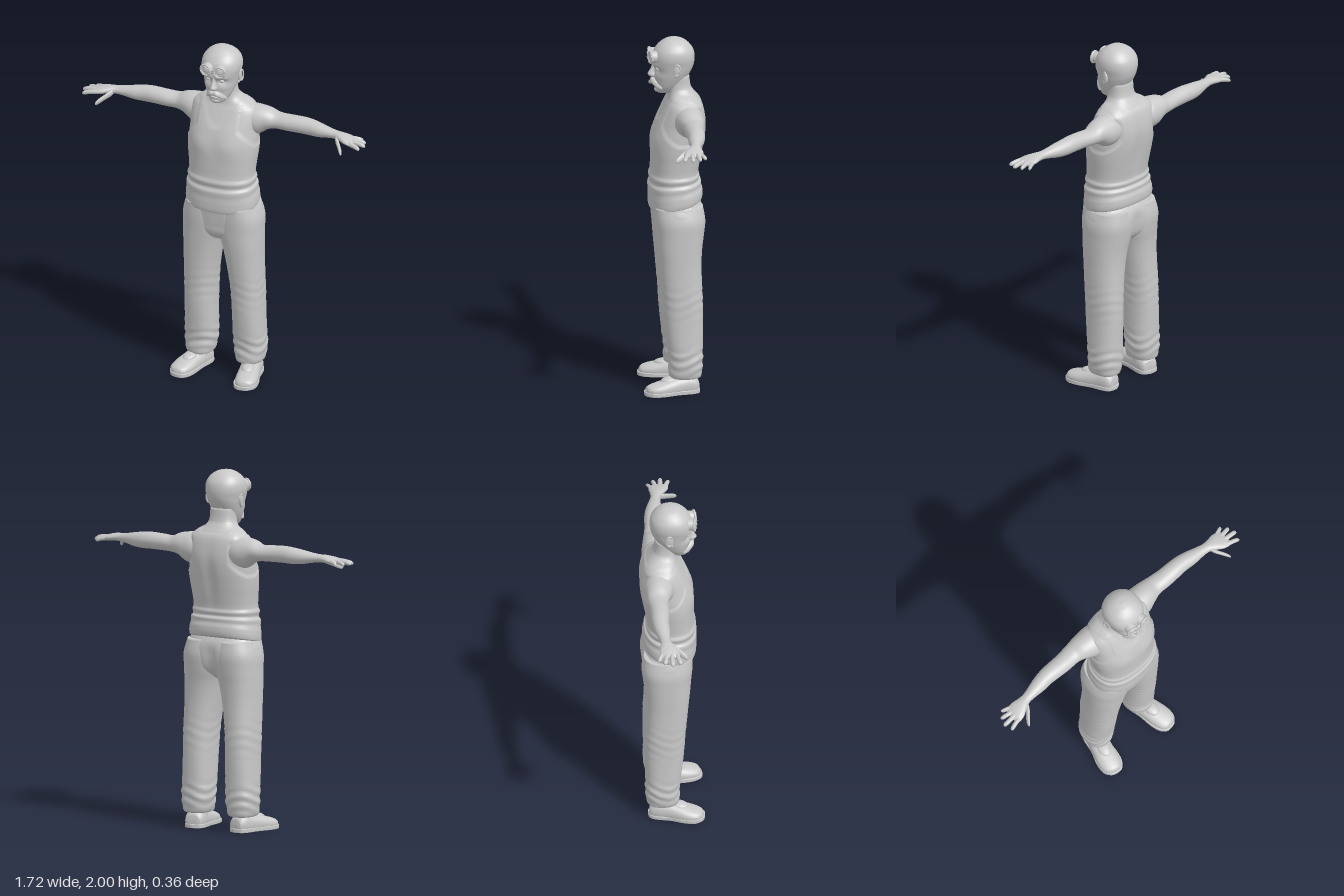
import * as THREE from 'three';
import { mergeGeometries } from 'three/addons/utils/BufferGeometryUtils.js';

const clay = new THREE.MeshStandardMaterial({ color: 0xc8c8c8 });
clay.name = 'clay grey';

// Smooth loft along an axis. Section: [position, centreU, centreV, radiusU, radiusV]
const PLANE = { x: ['z', 'y'], y: ['x', 'z'], z: ['y', 'x'] };
function loft(axis, rows, { n = 32, k = 5, e = 2, warp } = {}) {
  const [u, v] = PLANE[axis], last = rows.length - 1;
  const slope = (i, c) => {
    const a = rows[Math.max(i - 1, 0)], b = rows[Math.min(i + 1, last)];
    return (b[c] - a[c]) / (b[0] - a[0]);
  };
  const rings = [];
  for (let i = 0; i < last; i++) for (let s = 0; s < k; s++) {
    const t = s / k, A = rows[i], B = rows[i + 1], h = B[0] - A[0];
    rings.push(A.map((a, c) => c === 0 ? a + h * t
      : a * (2 * t ** 3 - 3 * t * t + 1) + B[c] * (3 * t * t - 2 * t ** 3)
      + h * slope(i, c) * (t ** 3 - 2 * t * t + t) + h * slope(i + 1, c) * (t ** 3 - t * t)));
  }
  rings.push(rows[last]);
  const pos = [], idx = [], p = new THREE.Vector3();
  const power = (x) => Math.sign(x) * Math.abs(x) ** (2 / e);
  const put = (r, cu, cv) => {
    p[axis] = r[0];
    p[u] = r[1] + Math.max(r[3], 0.0005) * cu;
    p[v] = r[2] + Math.max(r[4], 0.0005) * cv;
    if (warp) warp(p, r);
    pos.push(p.x, p.y, p.z);
  };
  for (const r of rings) for (let j = 0; j < n; j++) {
    const a = (j / n) * Math.PI * 2;
    put(r, power(Math.cos(a)), power(Math.sin(a)));
  }
  put(rings[0], 0, 0);
  put(rings[rings.length - 1], 0, 0);
  const m = rings.length, first = m * n, end = first + 1;
  for (let j = 0; j < n; j++) {
    const q = (j + 1) % n;
    for (let i = 0; i < m - 1; i++) {
      const a = i * n + j, b = i * n + q, c = a + n, d = b + n;
      idx.push(a, c, b, b, c, d);
    }
    idx.push(first, j, q, end, (m - 1) * n + q, (m - 1) * n + j);
  }
  const g = new THREE.BufferGeometry();
  g.setAttribute('position', new THREE.Float32BufferAttribute(pos, 3));
  g.setIndex(idx);
  g.computeVertexNormals();
  return g;
}

// Section from extents: [position, half width, front z, back z]
const body = (rows, cx = 0) => rows.map(([y, w, f, b]) => [y, cx, (f + b) / 2, w, (f - b) / 2]);
const step = (a, b, x) => THREE.MathUtils.smoothstep(x, a, b);
const bump = (x, s) => Math.exp(-(x * x) / (s * s));
const ball = (r, sx, sy, sz, x, y, z) => new THREE.SphereGeometry(r, 20, 14).scale(sx, sy, sz).translate(x, y, z);

function mirrored(geo) {
  const g = geo.clone().scale(-1, 1, 1), ix = g.index.array;
  for (let i = 0; i < ix.length; i += 3) [ix[i], ix[i + 1]] = [ix[i + 1], ix[i]];
  return g;
}

export function createModel() {
  const model = new THREE.Group();
  model.name = 'figure';
  const add = (name, geo) => {
    const mesh = new THREE.Mesh(geo, clay);
    mesh.name = name;
    model.add(mesh);
  };
  const pair = (name, geo) => {
    add('left ' + name, geo);
    add('right ' + name, mirrored(geo));
  };

  // Torso and neck; the vest is a raised area with scooped neck and armholes
  add('torso and vest', loft('y', body([
    [1.03, 0.19, 0.115, -0.135], [1.04, 0.203, 0.13, -0.155], [1.09, 0.204, 0.135, -0.158], [1.13, 0.198, 0.134, -0.15],
    [1.165, 0.198, 0.136, -0.15], [1.185, 0.187, 0.126, -0.138], [1.215, 0.192, 0.132, -0.142], [1.24, 0.184, 0.124, -0.136],
    [1.3, 0.188, 0.122, -0.145], [1.38, 0.197, 0.12, -0.16], [1.45, 0.2, 0.112, -0.172], [1.52, 0.198, 0.094, -0.177],
    [1.58, 0.2, 0.068, -0.17], [1.63, 0.188, 0.045, -0.157], [1.66, 0.15, 0.032, -0.14], [1.69, 0.1, 0.028, -0.118],
    [1.72, 0.079, 0.03, -0.1], [1.79, 0.074, 0.03, -0.09],
  ]), {
    n: 112, k: 7, e: 2.35, warp(p) {
      const { x, y, z } = p, ax = Math.abs(x);
      const hole = Math.hypot((z + 0.045) / 0.12, (y - 1.545) / 0.125);
      let vest = ax > 0.12 ? step(0.95, 1.03, hole) : 1;
      const neck = z > -0.06 ? 1.535 + 14 * x * x : 1.655 + 1.2 * Math.max(0, ax - 0.08);
      vest *= 1 - step(neck - 0.006, neck + 0.006, y);
      if (y > 1.69) vest = 0;
      const s = 1 + 0.035 * vest - 0.015;
      p.x *= s;
      p.z = -0.03 + (z + 0.03) * s;
      // Chest, spine hollow and tilted hem
      if (z > 0) p.z += 0.008 * bump(ax - 0.085, 0.06) * bump(y - 1.43, 0.06);
      else p.z += 0.01 * bump(x, 0.035) * bump(y - 1.42, 0.15);
      p.y -= 0.2 * (z - 0.1) * (1 - step(1.05, 1.26, y));
    },
  }));

  // Head: bald skull narrowing to the chin
  add('head', loft('y', body([
    [1.685, 0.012, 0.07, 0.03], [1.69, 0.036, 0.088, 0.005], [1.71, 0.055, 0.1, -0.03], [1.74, 0.072, 0.102, -0.055],
    [1.78, 0.087, 0.104, -0.082], [1.82, 0.097, 0.104, -0.104], [1.85, 0.103, 0.113, -0.115], [1.89, 0.111, 0.115, -0.12],
    [1.93, 0.107, 0.104, -0.113], [1.96, 0.09, 0.082, -0.093], [1.98, 0.067, 0.058, -0.07], [1.994, 0.038, 0.032, -0.042],
    [2.0, 0.002, 0, -0.006],
  ]), {
    n: 64, k: 6, e: 2.15, warp(p) {
      if (p.z < 0.03) return;
      const ax = Math.abs(p.x);
      p.z -= 0.014 * bump(ax - 0.04, 0.022) * bump(p.y - 1.83, 0.016);
      p.z += 0.007 * bump(p.y - 1.855, 0.012) * bump(ax - 0.04, 0.035);
      p.z += 0.005 * bump(p.y - 1.79, 0.018) * bump(ax - 0.055, 0.025);
    },
  }));
  add('nose', loft('y', body([
    [1.773, 0.004, 0.112, 0.09], [1.779, 0.017, 0.128, 0.08], [1.792, 0.02, 0.14, 0.08], [1.805, 0.015, 0.136, 0.08],
    [1.83, 0.01, 0.122, 0.08], [1.855, 0.01, 0.116, 0.08], [1.862, 0.004, 0.112, 0.08],
  ]), { n: 20, k: 4 }));
  pair('moustache half', loft('x', [
    [-0.004, 0.108, 1.757, 0.014, 0.013], [0.016, 0.109, 1.756, 0.017, 0.016], [0.036, 0.097, 1.745, 0.017, 0.016],
    [0.052, 0.08, 1.731, 0.013, 0.012], [0.062, 0.068, 1.722, 0.003, 0.003],
  ], { n: 16, k: 4 }));
  add('lower lip', ball(1, 0.022, 0.007, 0.01, 0, 1.73, 0.1));
  add('chin', ball(1, 0.03, 0.018, 0.022, 0, 1.706, 0.082));
  pair('eye', ball(0.013, 1.1, 0.75, 0.8, 0.04, 1.831, 0.089));
  pair('ear', mergeGeometries([
    ball(1, 0.009, 0.033, 0.02, 0.104, 1.835, -0.012),
    new THREE.TorusGeometry(0.021, 0.005, 8, 24).scale(0.85, 1.45, 1).rotateY(Math.PI / 2 - 0.3).translate(0.11, 1.838, -0.014),
    ball(1, 0.007, 0.011, 0.01, 0.1, 1.803, -0.003),
  ]));

  // Goggles pushed up on the forehead
  const eyepiece = [
    new THREE.CylinderGeometry(0.031, 0.035, 0.035, 32).rotateX(Math.PI / 2).translate(0, 0, -0.016),
    new THREE.TorusGeometry(0.031, 0.007, 10, 32),
    new THREE.TorusGeometry(0.02, 0.004, 8, 28).translate(0, 0, 0.003),
    ball(1, 0.018, 0.018, 0.006, 0, 0, 0.001),
  ];
  for (let i = 0; i < 8; i++) {
    const a = (i + 0.5) * Math.PI / 4;
    eyepiece.push(new THREE.SphereGeometry(0.005, 8, 6).translate(0.031 * Math.cos(a), 0.031 * Math.sin(a), 0.005));
  }
  pair('goggle eyepiece', mergeGeometries(eyepiece).rotateY(0.22).translate(0.042, 1.9, 0.128));
  add('goggle bridge', new THREE.CapsuleGeometry(0.007, 0.024, 6, 12).rotateZ(Math.PI / 2).translate(0, 1.902, 0.126));

  // Arms and hands, palms down
  pair('arm', loft('x', [
    [0.1, -0.08, 1.555, 0.07, 0.07], [0.15, -0.075, 1.557, 0.083, 0.086], [0.2, -0.075, 1.56, 0.08, 0.083],
    [0.25, -0.08, 1.572, 0.068, 0.062], [0.3, -0.085, 1.568, 0.057, 0.046], [0.37, -0.08, 1.57, 0.053, 0.046],
    [0.45, -0.08, 1.572, 0.05, 0.047], [0.5, -0.08, 1.57, 0.047, 0.046], [0.56, -0.073, 1.567, 0.043, 0.04],
    [0.62, -0.065, 1.567, 0.033, 0.029], [0.665, -0.058, 1.567, 0.029, 0.023], [0.7, -0.05, 1.566, 0.038, 0.022],
    [0.74, -0.042, 1.561, 0.052, 0.02], [0.775, -0.036, 1.555, 0.052, 0.016], [0.79, -0.034, 1.552, 0.044, 0.01],
    [0.794, -0.034, 1.551, 0.03, 0.003],
  ], { n: 36, k: 5 }));
  const digit = (x0, y0, z0, x1, y1, z1, r, arch) => loft('x',
    [[0, 0.7], [0.15, 1.05], [0.5, 1], [0.8, 0.95], [0.95, 0.65], [1, 0.05]].map(([t, s]) => [
      x0 + (x1 - x0) * t, z0 + (z1 - z0) * t, y0 + (y1 - y0) * t + arch * t * (1 - t), r * s, r * s]), { n: 14, k: 3 });
  pair('little finger', digit(0.75, 1.557, -0.075, 0.812, 1.543, -0.1, 0.0115, 0.012));
  pair('ring finger', digit(0.76, 1.557, -0.053, 0.842, 1.545, -0.068, 0.0125, 0.016));
  pair('middle finger', digit(0.76, 1.557, -0.03, 0.858, 1.546, -0.026, 0.013, 0.016));
  pair('index finger', digit(0.755, 1.556, -0.005, 0.842, 1.543, 0.018, 0.013, 0.014));
  pair('thumb', digit(0.675, 1.56, -0.035, 0.748, 1.51, 0.054, 0.017, 0.008));

  // Trousers: seat plus two loose legs with folds at the cuffs
  add('trouser seat', loft('y', body([
    [0.83, 0.02, 0.02, -0.06], [0.85, 0.07, 0.07, -0.11], [0.89, 0.15, 0.1, -0.148], [0.94, 0.212, 0.108, -0.163],
    [1.0, 0.222, 0.115, -0.166], [1.05, 0.208, 0.118, -0.156], [1.1, 0.18, 0.11, -0.13],
  ]), {
    n: 72, k: 6, e: 2.4, warp(p) {
      if (p.z < -0.05) p.z += 0.014 * bump(p.x, 0.03) * (1 - step(0.98, 1.06, p.y));
      else if (p.z > 0.05) p.z += 0.002 * Math.sin(p.x * 130) * bump(p.y - 1.0, 0.05);
    },
  }));
  const leg = [ // height, inner x, outer x, front z, back z
    [0.085, 0.088, 0.212, 0.02, -0.128], [0.092, 0.075, 0.225, 0.035, -0.14], [0.13, 0.065, 0.234, 0.04, -0.147],
    [0.18, 0.058, 0.238, 0.038, -0.15], [0.25, 0.056, 0.236, 0.047, -0.15], [0.4, 0.055, 0.231, 0.063, -0.152],
    [0.52, 0.05, 0.231, 0.071, -0.151], [0.62, 0.04, 0.23, 0.08, -0.147], [0.73, 0.022, 0.229, 0.09, -0.145],
    [0.82, 0.003, 0.23, 0.099, -0.15], [0.9, -0.02, 0.23, 0.106, -0.161], [0.98, -0.02, 0.228, 0.113, -0.168],
    [1.06, 0, 0.205, 0.115, -0.155],
  ].map(([y, i, o, f, b]) => [y, (i + o) / 2, (f + b) / 2, (o - i) / 2, (f - b) / 2]);
  pair('trouser leg', loft('y', leg, {
    n: 48, k: 8, e: 2.3, warp(p, r) {
      const a = Math.atan2(p.z - r[2], p.x - r[1]);
      const low = bump(p.y - 0.19, 0.07), knee = 0.4 * bump(p.y - 0.52, 0.09);
      const s = 1 + 0.035 * (low + knee) * Math.sin(p.y * 110 + 2.5 * Math.sin(a * 2 + 0.6));
      p.x = r[1] + (p.x - r[1]) * s;
      p.z = r[2] + (p.z - r[2]) * s;
    },
  }));

  // Shoes, toes turned out
  const place = (g) => g.rotateY(0.2).translate(0.168, 0, 0);
  pair('shoe upper', place(loft('z', [
    [-0.128, 0.03, 0, 0.015, 0.025], [-0.122, 0.035, 0, 0.04, 0.044], [-0.09, 0.04, 0, 0.062, 0.056],
    [-0.03, 0.04, 0, 0.06, 0.057], [0.03, 0.035, 0.003, 0.053, 0.06], [0.09, 0.03, 0.005, 0.043, 0.063],
    [0.14, 0.027, 0.005, 0.032, 0.055], [0.165, 0.025, 0.003, 0.022, 0.036], [0.174, 0.022, 0.002, 0.008, 0.012],
  ], { n: 36, k: 5, e: 2.2, warp(p) { p.y = Math.max(p.y, 0.008); } })));
  const outline = new THREE.Shape();
  outline.setFromPoints(new THREE.SplineCurve([
    [0, -0.134], [0.043, -0.12], [0.057, -0.08], [0.056, 0], [0.067, 0.08], [0.06, 0.14], [0.03, 0.172], [0, 0.178],
    [-0.035, 0.17], [-0.057, 0.135], [-0.062, 0.08], [-0.055, 0], [-0.057, -0.08], [-0.043, -0.12], [0, -0.134],
  ].map(([x, z]) => new THREE.Vector2(x, -z))).getPoints(70));
  const sole = new THREE.ExtrudeGeometry(outline, { depth: 0.016, bevelThickness: 0.003, bevelSize: 0.003, bevelSegments: 2 });
  sole.rotateX(-Math.PI / 2).translate(0, 0.003, 0);
  sole.setIndex([...Array(sole.attributes.position.count).keys()]);
  pair('shoe sole', place(sole));
  pair('shoe tongue', place(ball(1, 0.036, 0.02, 0.05, 0, 0.08, 0.03).rotateX(0.12)));
  pair('ankle', new THREE.CylinderGeometry(0.045, 0.052, 0.08, 28).translate(0.152, 0.1, -0.05));
  return model;
}
